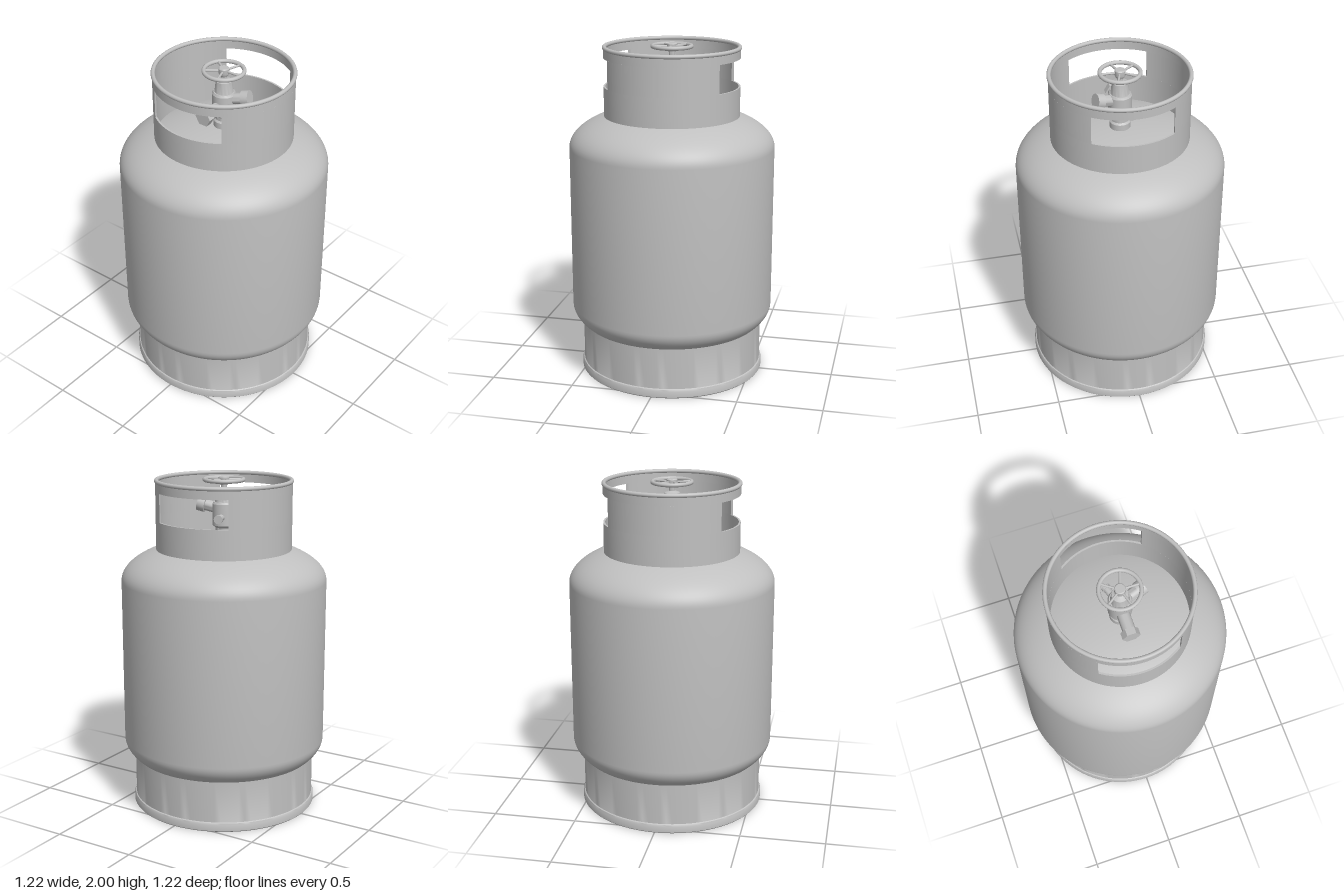
import * as THREE from 'three';
import { toCreasedNormals } from 'three/addons/utils/BufferGeometryUtils.js';

const steel = new THREE.MeshStandardMaterial({ color: 0xc0c0c0 });
steel.name = 'grey steel';

function add(parent, name, geometry, x = 0, y = 0, z = 0) {
  const mesh = new THREE.Mesh(geometry, steel);
  mesh.name = name;
  mesh.position.set(x, y, z);
  parent.add(mesh);
  return mesh;
}

// Surface of revolution, profile listed bottom to top on the outside
function lathe(points, segments = 96, crease = 0.5) {
  const profile = points.map(([r, y]) => new THREE.Vector2(r, y));
  return toCreasedNormals(new THREE.LatheGeometry(profile, segments), crease);
}

// Round fitting pointing along a direction; steps are [radius, length, sides]
function fitting(parent, name, origin, direction, steps) {
  const group = new THREE.Group();
  group.name = name;
  group.position.set(...origin);
  group.quaternion.setFromUnitVectors(
    new THREE.Vector3(0, 1, 0), new THREE.Vector3(...direction).normalize());
  let along = 0;
  steps.forEach(([radius, length, sides], i) => {
    const geo = new THREE.CylinderGeometry(radius, radius, length, sides);
    if (sides === 6) geo.rotateY(Math.PI / 2);
    add(group, `${name}Section${i + 1}`, toCreasedNormals(geo, 0.6), 0, along + length / 2, 0);
    along += length;
  });
  parent.add(group);
}

// Collar wall piece between the two windows; side edges are flat at x = +-halfWidth
function collarSide(outer, inner, halfWidth, height) {
  const a = Math.acos(halfWidth / outer);
  const b = Math.acos(halfWidth / inner);
  const shape = new THREE.Shape();
  shape.absarc(0, 0, outer, -a, a, false);
  shape.absarc(0, 0, inner, b, -b, true);
  shape.closePath();
  const geo = new THREE.ExtrudeGeometry(shape, { depth: height, bevelEnabled: false, curveSegments: 40 });
  geo.rotateX(-Math.PI / 2);
  return toCreasedNormals(geo, 0.5);
}

export function createModel() {
  const model = new THREE.Group();
  model.name = 'gasCylinder';

  // Tank: straight wall with elliptical ends
  const profile = [];
  const steps = 24, radius = 0.61, dome = 0.245;
  for (let i = 0; i <= steps; i++) {
    const t = (i / steps) * Math.PI / 2;
    profile.push([radius * Math.sin(t), 0.415 - dome * Math.cos(t)]);
  }
  for (let i = 0; i <= steps; i++) {
    const t = (i / steps) * Math.PI / 2;
    profile.push([radius * Math.cos(t), 1.39 + dome * Math.sin(t)]);
  }
  add(model, 'tank', lathe(profile));

  // Open foot ring with a rolled lip at the bottom
  add(model, 'footRing', lathe([
    [0.535, 0], [0.552, 0], [0.557, 0.006], [0.557, 0.042], [0.552, 0.052],
    [0.546, 0.056], [0.546, 0.31], [0.535, 0.31], [0.535, 0],
  ]));

  // Guard collar with a front and a back window
  const collar = new THREE.Group();
  collar.name = 'collar';
  model.add(collar);
  const outer = 0.402, inner = 0.391;
  const band = (bottom, top) => lathe([
    [inner, bottom], [outer, bottom], [outer, top], [inner, top], [inner, bottom],
  ]);
  add(collar, 'collarLower', band(1.55, 1.75));
  add(collar, 'collarUpper', band(1.917, 1.975));
  for (const side of [0, 1]) {
    const wall = add(collar, side ? 'collarRight' : 'collarLeft',
      collarSide(outer, inner, 0.233, 0.167), 0, 1.75, 0);
    wall.rotation.y = side * Math.PI;
  }
  const rim = new THREE.TorusGeometry(0.396, 0.0125, 12, 96);
  rim.rotateX(Math.PI / 2);
  add(collar, 'collarRim', rim, 0, 1.976, 0);

  // Valve body and bonnet
  const valve = new THREE.Group();
  valve.name = 'valve';
  model.add(valve);
  add(valve, 'valveBody', lathe([
    [0, 1.62], [0.06, 1.62], [0.06, 1.67], [0.05, 1.68], [0.05, 1.70], [0.068, 1.715],
    [0.068, 1.84], [0.06, 1.852], [0.054, 1.852], [0.046, 1.92], [0.03, 1.925],
    [0.018, 1.93], [0.018, 1.97], [0, 1.97],
  ], 32));

  // Outlets and plug
  fitting(valve, 'frontOutlet', [0, 1.765, 0], [0, 0, 1],
    [[0.037, 0.155, 24], [0.051, 0.04, 6]]);
  fitting(valve, 'sideOutlet', [0, 1.803, 0], [0.93, 0.22, -0.26],
    [[0.032, 0.115, 24], [0.044, 0.045, 24]]);
  fitting(valve, 'backPlug', [0, 1.765, 0], [-0.3, 0, -0.95],
    [[0.02, 0.12, 20], [0.026, 0.018, 20]]);

  // Handwheel with five spokes
  const wheel = new THREE.Group();
  wheel.name = 'handwheel';
  wheel.position.y = 1.981;
  valve.add(wheel);
  const ring = new THREE.TorusGeometry(0.114, 0.012, 12, 48);
  ring.rotateX(Math.PI / 2);
  add(wheel, 'wheelRing', ring);
  add(wheel, 'wheelHub', lathe([
    [0, -0.03], [0.024, -0.03], [0.031, -0.015], [0.031, 0.014], [0.026, 0.019], [0, 0.019],
  ], 24));
  for (let i = 0; i < 5; i++) {
    const arm = new THREE.Group();
    arm.name = `spoke${i + 1}`;
    arm.rotation.y = (i * Math.PI * 2) / 5;
    const spoke = new THREE.CylinderGeometry(0.007, 0.007, 0.09, 10);
    spoke.rotateZ(Math.PI / 2);
    add(arm, 'spokeBar', spoke, 0.069, 0, 0);
    wheel.add(arm);
  }
  return model;
}
